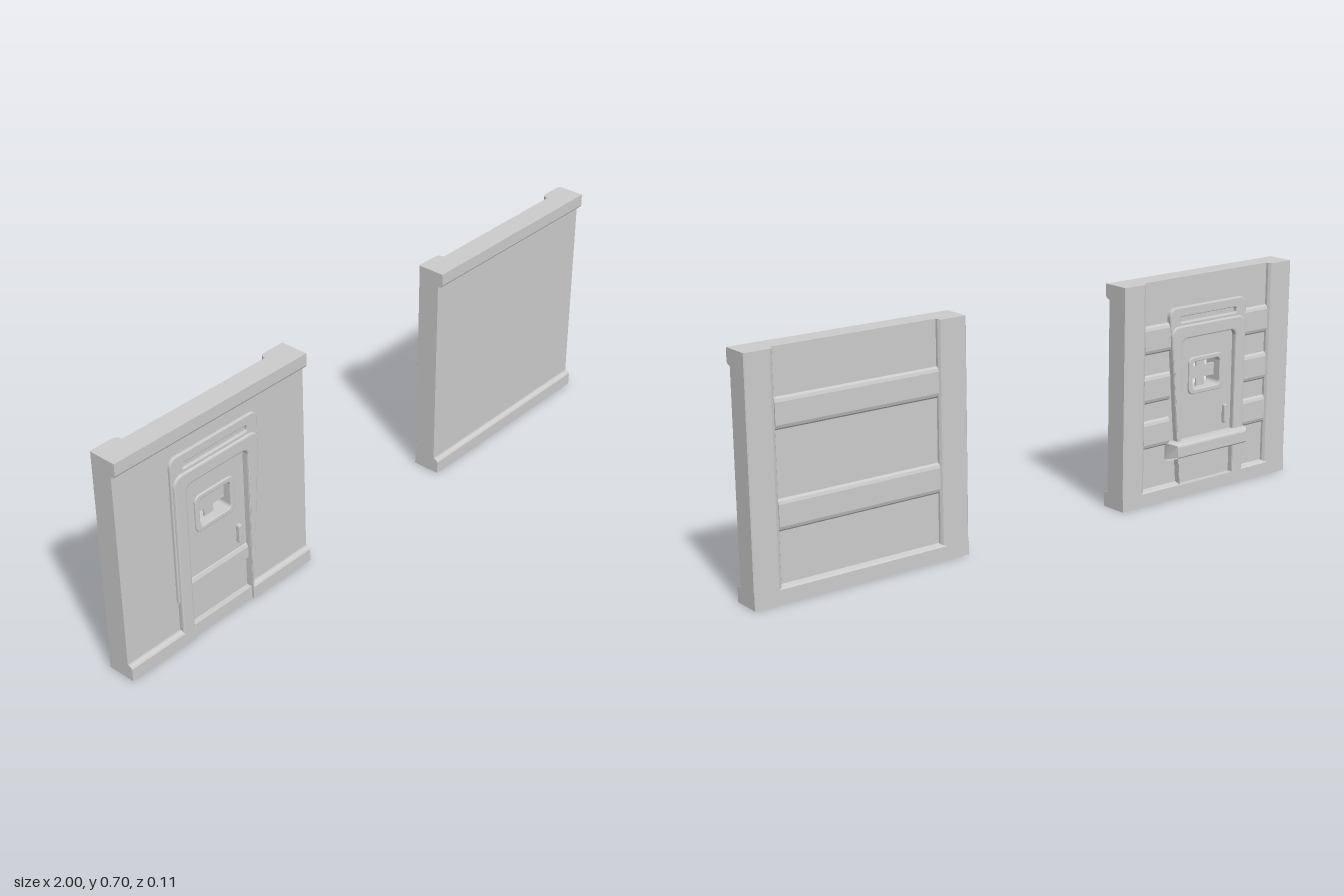
import * as THREE from 'three';

const grey = new THREE.MeshStandardMaterial({ color: 0xcccccc, flatShading: true });
const W = 0.3525, H = 0.705, RECESS = 0.262;

function add(parent, name, geo) {
  const mesh = new THREE.Mesh(geo, grey);
  mesh.name = name;
  parent.add(mesh);
  return mesh;
}

const poly = pts => new THREE.Shape(pts.map(p => new THREE.Vector2(p[0], p[1])));

// box given by its limits
function block(x0, x1, y0, y1, z0, z1) {
  return new THREE.BoxGeometry(x1 - x0, y1 - y0, z1 - z0)
    .translate((x0 + x1) / 2, (y0 + y1) / 2, (z0 + z1) / 2);
}

// (z, y) profile swept along x
function sweepX(profile, x0, x1) {
  return new THREE.ExtrudeGeometry(poly(profile), { depth: x1 - x0, bevelEnabled: false })
    .rotateY(-Math.PI / 2).translate(x1, 0, 0);
}

// bevelled plate between two depths
function plate(shape, z0, z1, b = 0.004) {
  return new THREE.ExtrudeGeometry(shape, {
    depth: z1 - z0 - 2 * b, bevelSize: b, bevelThickness: b, bevelOffset: -b,
    bevelSegments: 2, curveSegments: 5,
  }).translate(0, 0, z0 + b);
}

function roundRect(w, h, r, cy, Type = THREE.Shape) {
  const s = new Type(), x = w / 2, y = h / 2;
  s.absarc(x - r, cy + y - r, r, 0, Math.PI / 2);
  s.absarc(-x + r, cy + y - r, r, Math.PI / 2, Math.PI);
  s.absarc(-x + r, cy - y + r, r, Math.PI, Math.PI * 1.5);
  s.absarc(x - r, cy - y + r, r, Math.PI * 1.5, Math.PI * 2);
  s.closePath();
  return s;
}

// doorway-shaped band, open at the bottom
function archBand(xo, xi, y0, yo, yi, ro, ri) {
  const s = new THREE.Shape();
  s.moveTo(xo, y0);
  s.absarc(xo - ro, yo - ro, ro, 0, Math.PI / 2);
  s.absarc(-xo + ro, yo - ro, ro, Math.PI / 2, Math.PI);
  s.lineTo(-xo, y0);
  s.lineTo(-xi, y0);
  s.absarc(-xi + ri, yi - ri, ri, Math.PI, Math.PI / 2, true);
  s.absarc(xi - ri, yi - ri, ri, Math.PI / 2, 0, true);
  s.lineTo(xi, y0);
  s.closePath();
  return s;
}

// wall section with rounded cornice, skirting and rear sill
const cornice = [[0.041, 0.658], [0.048, 0.659], [0.054, 0.662], [0.057, 0.668], [0.057, H], [-0.012, H]];
const wallProfile = [[-0.032, 0], [0.057, 0], [0.057, 0.039], [0.054, 0.044], [0.047, 0.048], [0.041, 0.048],
  ...cornice, [-0.012, 0.05], [-0.028, 0.046], [-0.032, 0.042]];
const headerProfile = [[-0.012, 0.515], [0.041, 0.515], ...cornice];

// raised horizontal rib on the back
function rib(parent, x0, x1, y0, y1) {
  add(parent, 'backRib', sweepX([[-0.01, y0], [-0.01, y1], [-0.015, y1], [-0.02, y1 - 0.005],
    [-0.023, y1 - 0.014], [-0.023, y0 + 0.014], [-0.02, y0 + 0.005], [-0.015, y0]], x0, x1));
}

// side posts with chamfered inner edges
function posts(parent) {
  for (const s of [-1, 1]) {
    const shape = poly([[s * W, 0.01], [s * W, -0.0295].map((v, i) => (i ? 0.0295 : v)), [s * (W - 0.003), 0.032],
      [s * (RECESS + 0.014), 0.032], [s * (RECESS + 0.005), 0.028], [s * RECESS, 0.02], [s * RECESS, 0.01]]);
    add(parent, 'sidePost', new THREE.ExtrudeGeometry(shape, { depth: H, bevelEnabled: false }).rotateX(-Math.PI / 2));
  }
}

function plainPanel() {
  const g = new THREE.Group();
  g.name = 'plainWallPanel';
  add(g, 'wall', sweepX(wallProfile, -W, W));
  posts(g);
  for (const y of [0.2, 0.48]) rib(g, -RECESS, RECESS, y, y + 0.09);
  return g;
}

// window bezel and handle for one face of the door, built facing +z
function doorFittings(face) {
  const g = new THREE.Group();
  g.name = 'doorFittings';
  const bezel = roundRect(0.148, 0.12, 0.02, 0.385);
  bezel.holes.push(roundRect(0.116, 0.088, 0.012, 0.385, THREE.Path));
  add(g, 'windowBezel', plate(bezel, face - 0.004, face + 0.006, 0.003));
  const grip = add(g, 'doorHandle', plate(roundRect(0.014, 0.062, 0.006, 0.24), face - 0.002, face + 0.013, 0.003));
  grip.position.x = 0.085;
  return g;
}

function doorPanel() {
  const g = new THREE.Group();
  g.name = 'doorWallPanel';

  // wall around the doorway
  add(g, 'wallSide', sweepX(wallProfile, -W, -0.115));
  add(g, 'wallSide', sweepX(wallProfile, 0.115, W));
  add(g, 'wallHeader', sweepX(headerProfile, -0.115, 0.115));
  posts(g);
  for (const y of [0.18, 0.325, 0.48]) {
    rib(g, -RECESS, -0.155, y, y + 0.09);
    rib(g, 0.155, RECESS, y, y + 0.09);
  }

  // outer surround with a slot above the door, on both faces
  const surround = archBand(0.163, 0.12, 0.145, 0.613, 0.54, 0.025, 0.02);
  surround.holes.push(roundRect(0.24, 0.018, 0.006, 0.574, THREE.Path));
  add(g, 'frontSurround', plate(surround, 0.036, 0.05, 0.003));
  add(g, 'backSurround', plate(surround, -0.026, -0.008, 0.003));

  // door frames
  add(g, 'frontFrame', plate(archBand(0.158, 0.115, 0, 0.555, 0.512, 0.03, 0.02), 0.03, 0.057, 0.005));
  add(g, 'backFrame', plate(archBand(0.158, 0.115, 0.03, 0.555, 0.512, 0.03, 0.02), -0.032, -0.006, 0.005));

  // door leaf with an open window
  const leaf = poly([[-0.117, 0.185], [0.117, 0.185], [0.117, 0.517], [-0.117, 0.517]]);
  leaf.holes.push(roundRect(0.116, 0.088, 0.012, 0.385, THREE.Path));
  add(g, 'doorLeaf', new THREE.ExtrudeGeometry(leaf, { depth: 0.05, bevelEnabled: false, curveSegments: 5 })
    .translate(0, 0, -0.015));
  add(g, 'windowCrossbar', block(-0.058, 0.058, 0.367, 0.406, 0.006, 0.014));
  add(g, 'windowUpright', block(-0.017, 0.017, 0.34, 0.43, 0.007, 0.013));

  g.add(doorFittings(0.035));
  const back = doorFittings(0.015);
  back.rotation.y = Math.PI;
  g.add(back);

  // panel, ledge and threshold below the door
  add(g, 'lowerPanel', block(-0.117, 0.117, 0.03, 0.19, -0.012, 0.032));
  add(g, 'doorLedge', sweepX([[0.03, 0.14], [0.042, 0.14], [0.042, 0.176], [0.038, 0.187], [0.03, 0.19]], -0.117, 0.117));
  add(g, 'threshold', block(-0.117, 0.117, 0, 0.04, -0.032, 0.05));

  // step on the back, narrowing outwards
  const step = sweepX([[-0.01, 0.13], [-0.01, 0.186], [-0.034, 0.186], [-0.05, 0.183], [-0.055, 0.18],
    [-0.057, 0.175], [-0.057, 0.143], [-0.054, 0.139], [-0.032, 0.13]], -0.165, 0.165);
  const p = step.attributes.position;
  for (let i = 0; i < p.count; i++) {
    const out = Math.max(0, -p.getZ(i) - 0.034) / 0.023;
    p.setX(i, p.getX(i) * (1 - 0.11 * out * out));
  }
  step.computeVertexNormals();
  add(g, 'backStep', step);
  return g;
}

export function createModel() {
  const model = new THREE.Group();
  model.name = 'wallPanels';
  const door = doorPanel(), plain = plainPanel();
  door.position.x = -(1 - W);
  plain.position.x = 1 - W;
  model.add(door, plain);
  return model;
}
